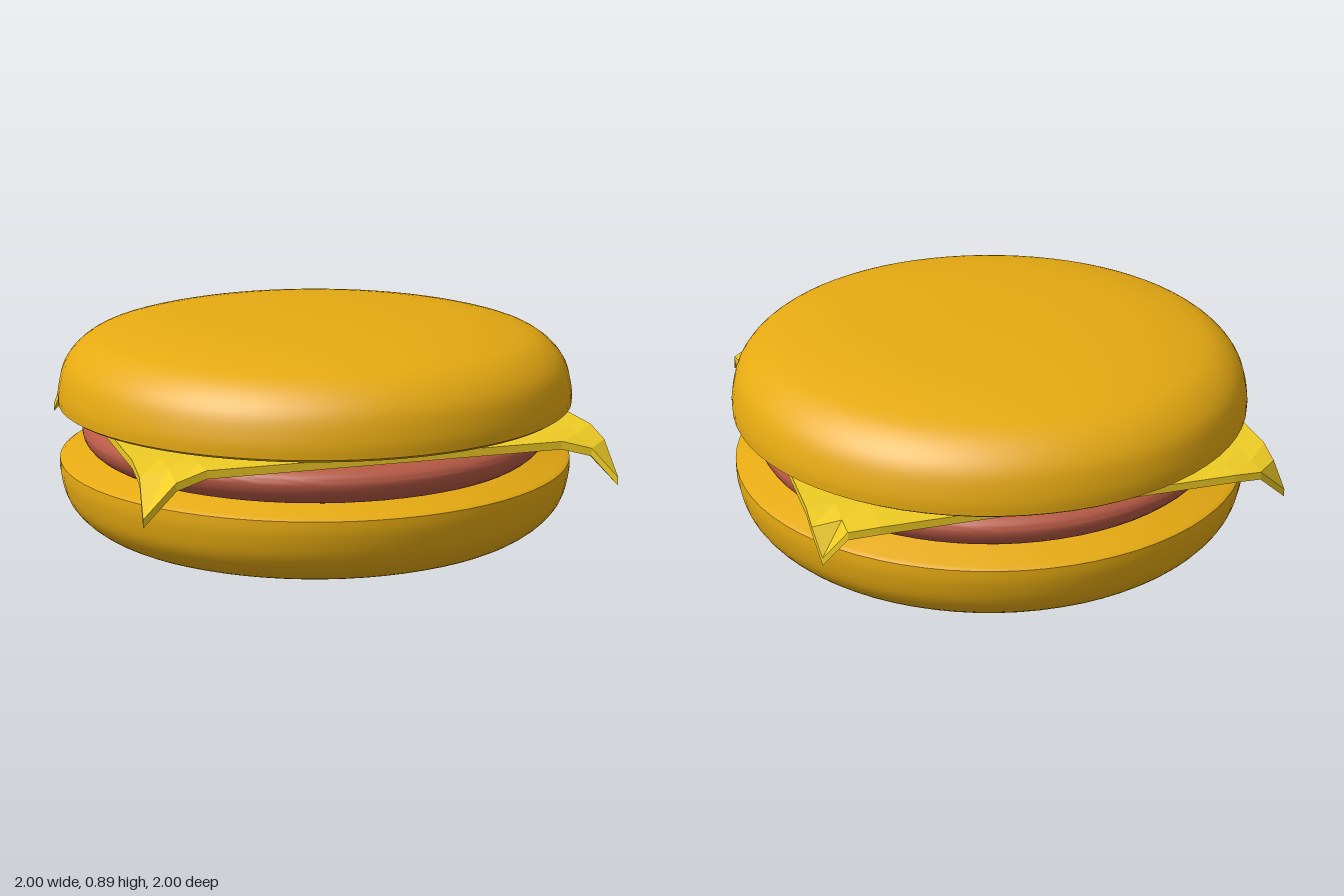
import * as THREE from 'three';
import { toCreasedNormals } from 'three/addons/utils/BufferGeometryUtils.js';

const v2 = ([x, y]) => new THREE.Vector2(x, y);
const material = (color, extra = {}) => new THREE.MeshStandardMaterial({ color, ...extra });

// Turned solid: profile runs from the bottom centre, round the rim, to the top centre
function turned(name, profile, mat) {
  const geometry = toCreasedNormals(new THREE.LatheGeometry(profile, 72), 0.7);
  const mesh = new THREE.Mesh(geometry, mat);
  mesh.name = name;
  return mesh;
}

// Domed half of the bun, measured up from its cut face
function bunProfile() {
  const dome = new THREE.SplineCurve([
    [1, 0.01], [0.998, 0.07], [0.97, 0.165], [0.9, 0.24], [0.8, 0.284],
    [0.6, 0.322], [0.3, 0.343], [0, 0.347],
  ].map(v2));
  return [v2([0, 0]), v2([0.985, 0]), ...dome.getPoints(28)];
}

// Square slice whose four corners sag; the back two also fold inward
function cheeseSlice(mat) {
  const lines = [0, 0.66, 0.77, 0.873];
  const geometry = new THREE.BoxGeometry(6, 0.03, 6, 6, 1, 6);
  const p = geometry.attributes.position;
  for (let i = 0; i < p.count; i++) {
    const gx = Math.round(p.getX(i)), gz = Math.round(p.getZ(i));
    const ax = Math.abs(gx), az = Math.abs(gz);
    const back = gz < 0;
    let x = Math.sign(gx) * lines[ax], z = Math.sign(gz) * lines[az];
    let drop = 0;
    if (ax === 3 && az === 3) {
      x = gx < 0 ? -0.9 : 0.85;
      z = back ? -0.8 : 0.95;
      drop = 0.13;
    } else if (ax === 2 && az === 3) {
      z = back ? -0.86 : 0.89;
      drop = back ? 0.01 : 0.03;
    } else if (ax === 3 && az === 2) {
      z = back ? -0.75 : 0.78;
      drop = 0.03;
    } else if (ax === 2 && az === 2) {
      drop = 0.008;
    }
    p.setXYZ(i, x, p.getY(i) - drop, z);
  }
  const flat = geometry.toNonIndexed();
  flat.computeVertexNormals();
  const mesh = new THREE.Mesh(flat, mat);
  mesh.name = 'cheeseSlice';
  mesh.position.y = 0.515;
  return mesh;
}

export function createModel() {
  const group = new THREE.Group();
  group.name = 'burger';
  const bun = material(0xe6aa12);

  // Two matching bun halves, the lower one turned upside down
  const topBun = turned('topBun', bunProfile(), bun);
  topBun.position.y = 0.547;
  const bottomBun = turned('bottomBun', bunProfile(), bun);
  bottomBun.rotation.x = Math.PI;
  bottomBun.position.y = 0.348;

  // Patty with a rounded rim
  const rim = new THREE.SplineCurve([
    [0.78, 0.345], [0.85, 0.362], [0.895, 0.4], [0.91, 0.44],
    [0.9, 0.468], [0.865, 0.49], [0.8, 0.5],
  ].map(v2));
  const patty = turned('patty', [v2([0, 0.345]), ...rim.getPoints(18), v2([0, 0.5])], material(0xb85a45));

  group.add(bottomBun, patty, cheeseSlice(material(0xf0cc24, { flatShading: true })), topBun);
  return group;
}
